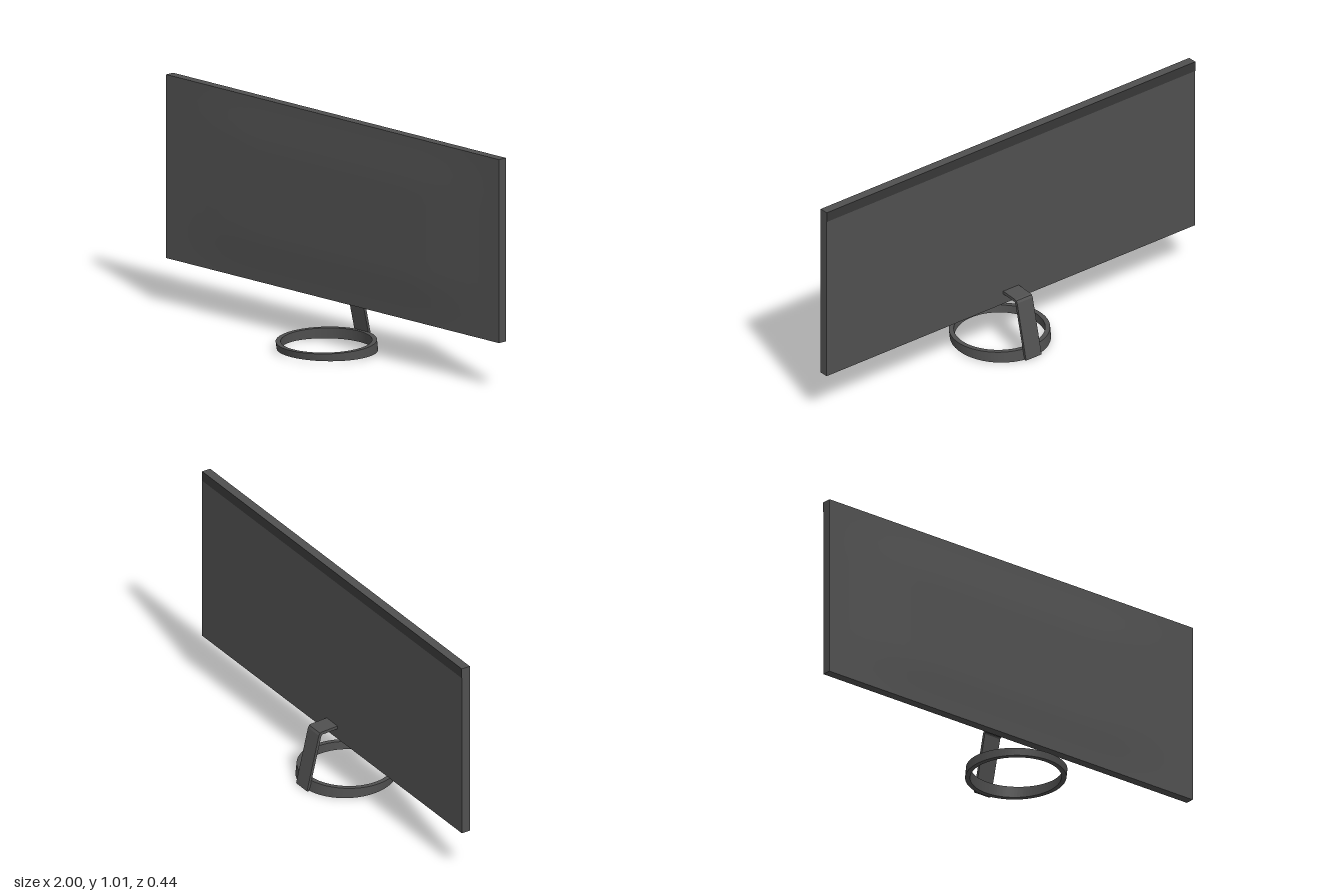
import * as THREE from 'three';

const material = (color) => new THREE.MeshStandardMaterial({ color, roughness: 0.8 });

export function createModel() {
  const group = new THREE.Group();
  const dark = material(0x505050);
  const darker = material(0x383838);

  const add = (name, geometry, mat = dark) => {
    const mesh = new THREE.Mesh(geometry, mat);
    mesh.name = name;
    group.add(mesh);
    return mesh;
  };

  // Screen panel
  const W = 2, H = 0.8, D = 0.04, midY = 0.614, midZ = -0.048;
  add('screenPanel', new THREE.BoxGeometry(W, H, D)).position.set(0, midY, midZ);

  // Gently bulging screen front: flat in the middle, sloping to the rim
  const front = new THREE.PlaneGeometry(W, H, 32, 20);
  const p = front.attributes.position;
  const rise = (t, flat) => THREE.MathUtils.smoothstep((1 - Math.abs(t)) / (1 - flat), 0, 1);
  for (let i = 0; i < p.count; i++) {
    const bulge = rise(p.getX(i) / (W / 2), 0.45) * rise(p.getY(i) / (H / 2), 0.45);
    p.setZ(i, 0.0005 + 0.01 * bulge);
  }
  front.computeVertexNormals();
  add('screenFront', front).position.set(0, midY, midZ + D / 2);

  // Darker strip along the top of the back
  add('backTopStrip', new THREE.BoxGeometry(W, 0.045, 0.002), darker)
    .position.set(0, midY + H / 2 - 0.0225, midZ - D / 2);

  // Bent flat arm, side profile given as [distance behind centre, height]
  const profile = [
    [0.06, 0.276], [0.148, 0.271], [0.156, 0.268], [0.162, 0.258], [0.222, 0.006], [0.214, 0.003],
    [0.206, 0.022], [0.15, 0.252], [0.145, 0.258], [0.06, 0.262],
  ].map(([x, y]) => new THREE.Vector2(x, y));
  const armWidth = 0.084;
  const arm = new THREE.ExtrudeGeometry(new THREE.Shape(profile.reverse()), {
    depth: armWidth, bevelEnabled: false,
  });
  arm.translate(0, 0, -armWidth / 2);
  arm.rotateY(Math.PI / 2);
  add('standArm', arm);

  // Base ring, taller at the back and leaning slightly forward
  const ringShape = new THREE.Shape().absarc(0, 0, 0.214, 0, Math.PI * 2, false);
  ringShape.holes.push(new THREE.Path().absarc(0, 0, 0.193, 0, Math.PI * 2, true));
  const ring = new THREE.ExtrudeGeometry(ringShape, { depth: 1, bevelEnabled: false, curveSegments: 48 });
  ring.rotateX(-Math.PI / 2);
  const r = ring.attributes.position;
  for (let i = 0; i < r.count; i++) {
    const z = r.getZ(i), top = r.getY(i) > 0.5;
    const t = (z + 0.214) / 0.428;
    r.setY(i, top ? THREE.MathUtils.lerp(0.053, 0.042, t) : THREE.MathUtils.lerp(0.003, 0.012, t));
    r.setZ(i, z + (top ? 0.009 : 0.003));
  }
  ring.computeVertexNormals();
  add('baseRing', ring);

  return group;
}
